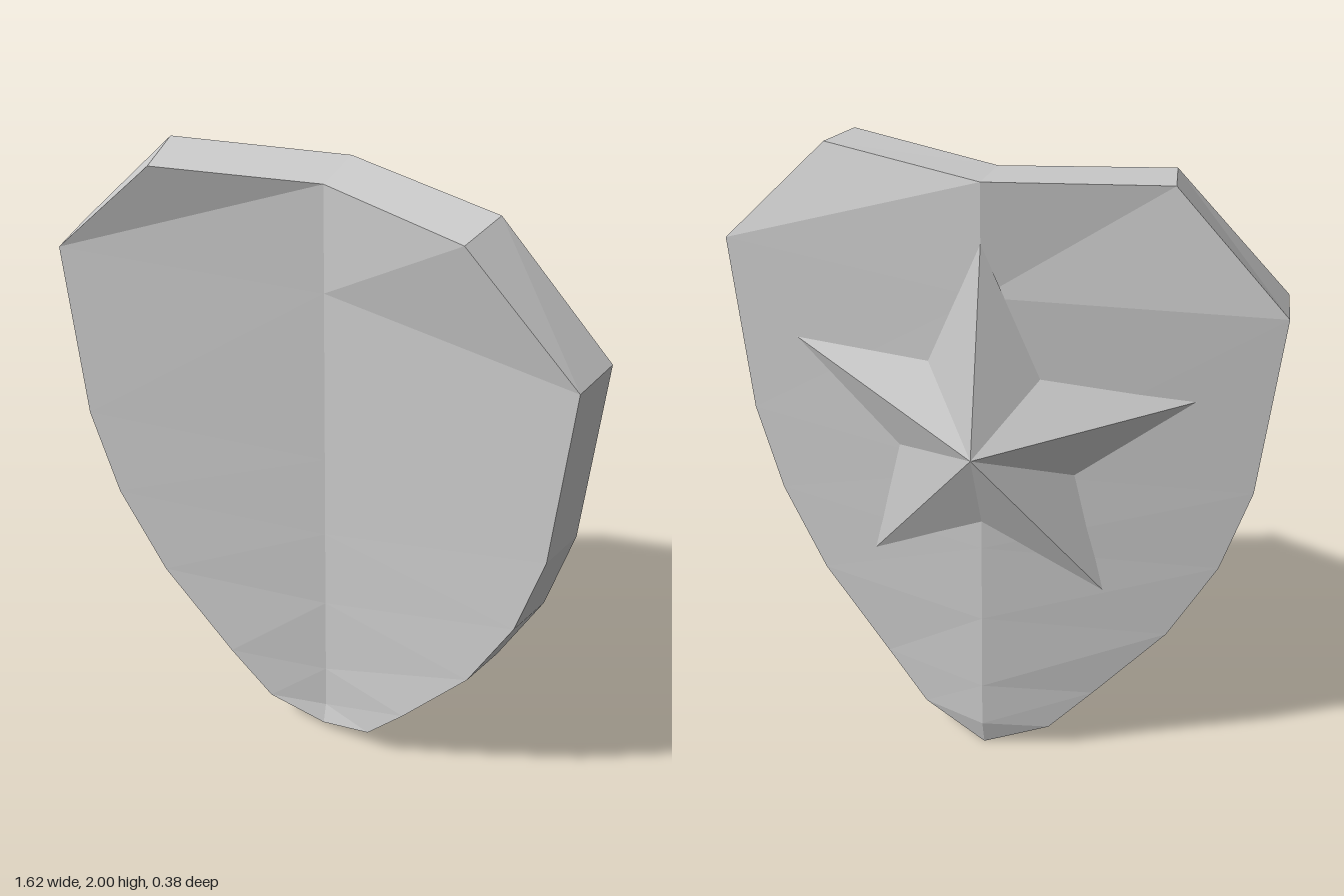
import * as THREE from 'three';

const RIDGE = -0.09; // depth of the fold on the outer (back) face
// Rows from top to tip: outer rim [x, y, z], outer fold z, inner rim [x, y, z], inner fold z
const rows = [
  { o: [0.485, 2.0, 0.037], oz: RIDGE, i: [0.457, 1.982, 0.192], iz: 0.064 },
  { o: [0.81, 1.667, 0.037], oz: RIDGE, i: [0.785, 1.66, 0.192], iz: 0.064 },
  { o: [0.77, 1.1, 0.037], oz: RIDGE, i: [0.744, 1.105, 0.19], iz: 0.064 },
  { o: [0.695, 0.82, 0.028], oz: RIDGE, i: [0.667, 0.828, 0.182], iz: 0.064 },
  { o: [0.56, 0.545, 0.01], oz: RIDGE, i: [0.53, 0.552, 0.163], iz: 0.064 },
  { o: [0.345, 0.265, -0.015], oz: RIDGE, i: [0.312, 0.27, 0.135], iz: 0.064 },
  { o: [0.21, 0.1, -0.04], oz: RIDGE, i: [0.18, 0.11, 0.112], iz: 0.064 },
  { o: [0, 0, -0.068], oz: -0.068, i: [0, 0.04, 0.08], iz: 0.08 },
];

// Flat-shaded mesh from triangles of Vector3, dropping collapsed ones
function facetMesh(name, triangles) {
  const points = triangles
    .filter(([a, b, c]) => new THREE.Triangle(a, b, c).getArea() > 1e-7)
    .flat();
  const geometry = new THREE.BufferGeometry().setFromPoints(points);
  geometry.computeVertexNormals();
  const mesh = new THREE.Mesh(
    geometry,
    new THREE.MeshStandardMaterial({ color: 0xcccccc, flatShading: true })
  );
  mesh.name = name;
  return mesh;
}

// Folded plate lofted from six-point cross-sections
function shieldBody() {
  const V = (x, y, z) => new THREE.Vector3(x, y, z);
  const rings = rows.map(({ o, oz, i, iz }) => [
    V(-o[0], o[1], o[2]), V(0, o[1], oz), V(o[0], o[1], o[2]),
    V(i[0], i[1], i[2]), V(0, i[1], iz), V(-i[0], i[1], i[2]),
  ]);
  const tris = [];
  const quad = (a, b, c, d) => tris.push([a, b, c], [a, c, d]);
  for (let r = 0; r < rings.length - 1; r++) {
    for (let k = 0; k < 6; k++) {
      const n = (k + 1) % 6;
      quad(rings[r][k], rings[r][n], rings[r + 1][n], rings[r + 1][k]);
    }
  }
  // Top edge
  const t = rings[0];
  quad(t[5], t[4], t[1], t[0]);
  quad(t[4], t[3], t[2], t[1]);
  return facetMesh('shieldBody', tris);
}

// Depth of the outer face at a point
function outerZ(x, y) {
  const r = rows.findIndex((row) => row.o[1] <= y);
  const a = rows[r - 1].o, b = rows[r].o;
  const t = (a[1] - y) / (a[1] - b[1]);
  const rimX = THREE.MathUtils.lerp(a[0], b[0], t);
  const rimZ = THREE.MathUtils.lerp(a[2], b[2], t);
  return THREE.MathUtils.lerp(RIDGE, rimZ, Math.abs(x) / rimX);
}

// Raised five-pointed star whose outline lies on the outer face
function starEmblem() {
  const cy = 1.2;
  const apex = new THREE.Vector3(0, cy, -0.19);
  const outline = [];
  for (let k = 0; k < 10; k++) {
    const radius = k % 2 ? 0.28 : 0.625;
    const angle = Math.PI / 2 + (k * Math.PI) / 5;
    const x = radius * Math.cos(angle), y = cy + radius * Math.sin(angle);
    outline.push(new THREE.Vector3(x, y, outerZ(x, y)));
  }
  return facetMesh('starEmblem', outline.map((p, k) => [apex, outline[(k + 1) % 10], p]));
}

export function createModel() {
  const group = new THREE.Group();
  group.name = 'shield';
  group.add(shieldBody(), starEmblem());
  return group;
}
